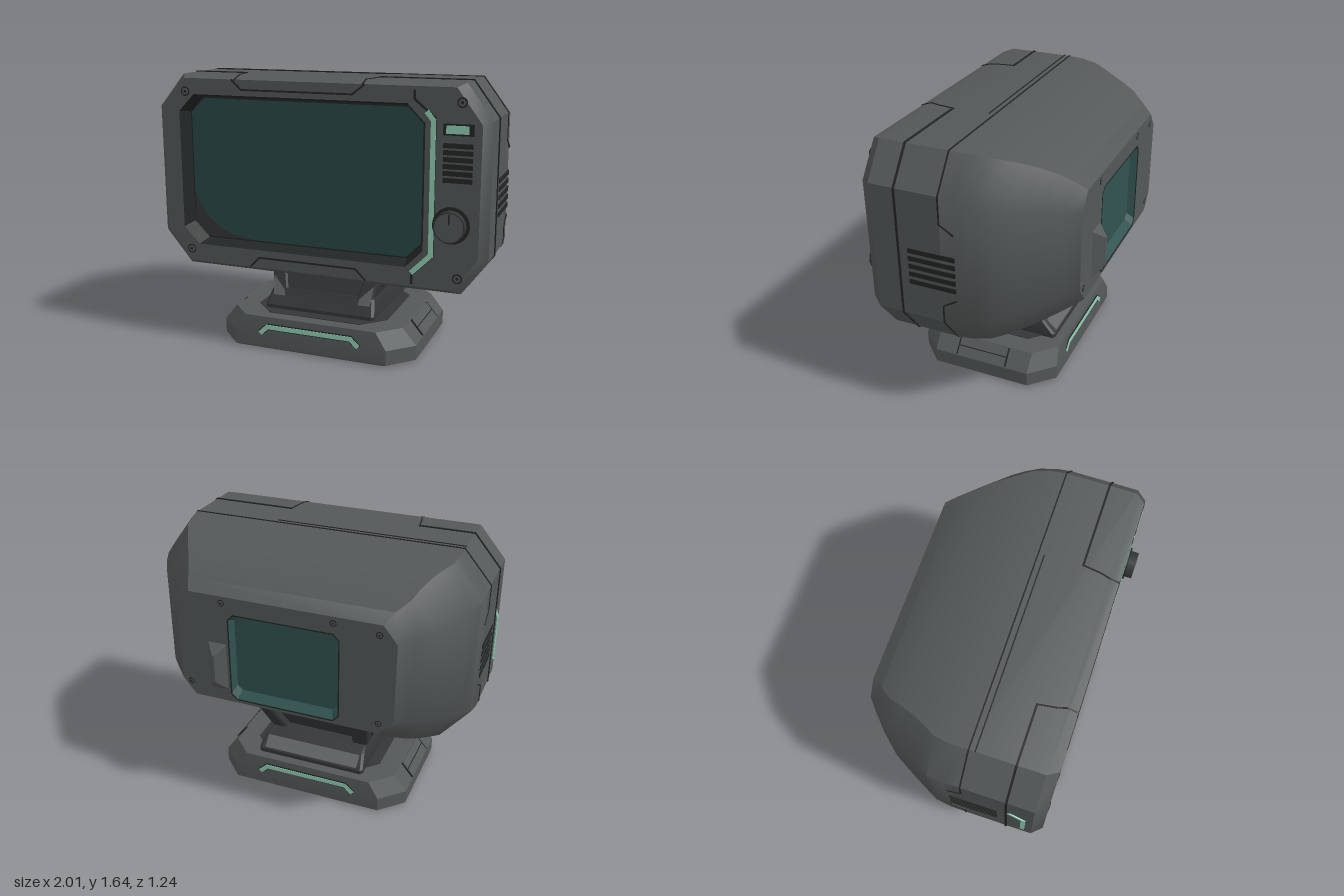
import * as THREE from 'three';
import { toCreasedNormals } from 'three/addons/utils/BufferGeometryUtils.js';

const paint = (name, color) => Object.assign(new THREE.MeshStandardMaterial({ color }), { name });

export function createModel() {
  const root = new THREE.Group();
  root.name = 'desktopMonitor';
  const shell = paint('shell grey', 0x545858);
  const dark = paint('seam black', 0x232626);
  const neckGrey = paint('neck grey', 0x343637);
  const glass = paint('screen teal', 0x294747);
  const rearGlass = paint('rear window teal', 0x315351);
  const mint = paint('light mint', 0x93d0b5);
  const steel = paint('bracket grey', 0x606465);

  const add = (name, geo, mat, x = 0, y = 0, z = 0, parent = root) => {
    const m = new THREE.Mesh(geo, mat);
    m.name = name;
    m.position.set(x, y, z);
    parent.add(m);
    return m;
  };

  // Chamfered rectangle, counter-clockwise; cl is the chamfer width on the -x side
  const oct = (x0, x1, y0, y1, cx, cy = cx, cl = cx) => [
    [x1, y0 + cy], [x1, y1 - cy], [x1 - cx, y1], [x0 + cl, y1],
    [x0, y1 - cy], [x0, y0 + cy], [x0 + cl, y0], [x1 - cx, y0]];

  // Skin over outlines ordered from front (+z) to back: [[z, points], ...]
  const loft = (sections, { caps = true, inside = false, crease = 0.55 } = {}) => {
    const pos = [];
    const tri = (...p) => (inside ? p.reverse() : p).forEach(v => pos.push(...v));
    const rings = sections.map(([z, pts]) => pts.map(([x, y]) => [x, y, z]));
    const n = rings[0].length;
    for (let s = 0; s < rings.length - 1; s++) {
      const a = rings[s], b = rings[s + 1];
      for (let i = 0; i < n; i++) {
        const j = (i + 1) % n;
        tri(a[i], b[i], b[j]);
        tri(a[i], b[j], a[j]);
      }
    }
    if (caps) {
      const f = rings[0], b = rings[rings.length - 1];
      for (let i = 1; i < n - 1; i++) {
        tri(f[0], f[i], f[i + 1]);
        tri(b[0], b[i + 1], b[i]);
      }
    }
    const g = new THREE.BufferGeometry();
    g.setAttribute('position', new THREE.Float32BufferAttribute(pos, 3));
    return toCreasedNormals(g, crease);
  };
  const upright = g => g.rotateX(-Math.PI / 2);
  const vec = pts => pts.map(p => new THREE.Vector2(...p));
  const plate = (outline, hole) => {
    const s = new THREE.Shape(vec(outline));
    if (hole) s.holes.push(new THREE.Path(vec(hole)));
    return new THREE.ShapeGeometry(s);
  };

  // Flat ribbon along a path in the local xy plane
  const ribbon = (name, pts, w, mat, z = 0, thick = 0.006, parent = root) => {
    const g = new THREE.Group();
    g.name = name;
    g.position.z = z;
    for (let i = 0; i < pts.length - 1; i++) {
      const [[x0, y0], [x1, y1]] = [pts[i], pts[i + 1]];
      const m = add(name, new THREE.BoxGeometry(Math.hypot(x1 - x0, y1 - y0) + w * 0.4, w, thick),
        mat, (x0 + x1) / 2, (y0 + y1) / 2, 0, g);
      m.rotation.z = Math.atan2(y1 - y0, x1 - x0);
    }
    parent.add(g);
    return g;
  };
  // Fine seam along a path in space
  const seam = (name, pts, w = 0.008) => {
    for (let i = 0; i < pts.length - 1; i++) {
      const a = new THREE.Vector3(...pts[i]), b = new THREE.Vector3(...pts[i + 1]);
      const m = add(name, new THREE.BoxGeometry(w, w, a.distanceTo(b) + w * 0.5), dark);
      m.position.copy(a).lerp(b, 0.5);
      m.lookAt(b);
    }
  };

  // Housing: z, left x, right x, bottom, top, right chamfer, chamfer height, left chamfer
  const profile = [
    [0.56, -0.95, 0.955, 0.513, 1.612, 0.14, 0.19, 0.155], [0.5, -1, 1, 0.48, 1.632, 0.145, 0.195, 0.165],
    [0.09, -1, 1, 0.48, 1.632, 0.145, 0.195, 0.165], [0, -1, 0.995, 0.483, 1.626, 0.15, 0.2, 0.165],
    [-0.1, -0.99, 0.975, 0.497, 1.612, 0.155, 0.205, 0.17], [-0.18, -0.95, 0.942, 0.522, 1.594, 0.165, 0.205, 0.175],
    [-0.25, -0.915, 0.902, 0.55, 1.573, 0.165, 0.2, 0.175], [-0.33, -0.872, 0.842, 0.587, 1.545, 0.15, 0.19, 0.165],
    [-0.41, -0.826, 0.778, 0.634, 1.508, 0.13, 0.165, 0.145], [-0.49, -0.74, 0.713, 0.684, 1.462, 0.105, 0.135, 0.12],
    [-0.56, -0.66, 0.655, 0.735, 1.41, 0.08, 0.1, 0.08]];
  const outline = ([, ...p]) => oct(...p);
  const slices = profile.map(p => [p[0], outline(p)]);
  add('housingFront', loft(slices.slice(0, 3), { caps: false }), shell);
  add('housingRear', loft(slices.slice(2), { caps: false, crease: 0.7 }), shell);

  // Front face with deeply recessed screen
  const opening = oct(-0.84, 0.65, 0.62, 1.52, 0.1);
  const inner = oct(-0.82, 0.63, 0.64, 1.5, 0.095);
  add('frontFace', plate(slices[0][1], opening), shell, 0, 0, 0.56);
  add('screenBezel', loft([[0.56, opening], [0.465, inner]], { caps: false, inside: true }), dark);
  add('screenBack', plate(inner), dark, 0, 0, 0.465);
  add('screen', plate(oct(-0.81, 0.615, 0.65, 1.49, 0.085)), glass, 0, 0, 0.47);
  // Dark curved corner behind the glass edge
  add('screenCorner', plate([[-0.81, 0.93], [-0.81, 0.735], [-0.725, 0.65], [-0.4, 0.65], [-0.55, 0.672],
    [-0.64, 0.705], [-0.72, 0.775], [-0.775, 0.85]]), neckGrey, 0, 0, 0.473);

  // Rear face with recessed window (built facing front, then turned)
  const rear = new THREE.Group();
  rear.name = 'rearPanel';
  rear.rotation.y = Math.PI;
  root.add(rear);
  const windowEdge = oct(-0.335, 0.335, 0.755, 1.305, 0.035);
  const windowFloor = oct(-0.315, 0.315, 0.8, 1.285, 0.03);
  add('rearFace', plate(slices[10][1].map(([x, y]) => [-x, y]).reverse(), windowEdge), shell, 0, 0, 0.56, rear);
  add('rearWindowWall', loft([[0.56, windowEdge], [0.515, windowFloor]], { caps: false, inside: true }), rearGlass, 0, 0, 0, rear);
  add('rearWindow', plate(windowFloor), rearGlass, 0, 0, 0.515, rear);
  ribbon('rearWindowSeam', [...windowEdge, windowEdge[0]], 0.007, dark, 0.56, 0.004, rear);
  add('rearLatch', loft([[-0.55, oct(0.345, 0.48, 0.8, 1.12, 0.005)], [-0.62, oct(0.405, 0.419, 0.88, 1.06, 0.003)]]), shell);

  // Screws
  const screw = (x, y, z, r, parent) => {
    for (const [k, mat, t] of [[1, dark, 0.004], [0.72, shell, 0.007], [0.3, dark, 0.009]])
      add('screw', new THREE.CylinderGeometry(r * k, r * k, t, 16).rotateX(Math.PI / 2), mat, x, y, z, parent);
  };
  for (const x of [-0.795, 0.845]) for (const y of [0.585, 1.535]) screw(x, y, 0.56, 0.028, root);
  for (const [x, y] of [[-0.37, 1.37], [0.3, 1.37], [0.56, 1.35], [-0.6, 0.82], [0.57, 0.8]]) screw(x, y, 0.56, 0.02, rear);

  // Front trim lines and light strip
  ribbon('topTrim', [[-0.49, 1.61], [-0.43, 1.555], [0.24, 1.555], [0.31, 1.61]], 0.01, dark, 0.56);
  ribbon('bottomTrim', [[-0.4, 0.515], [-0.34, 0.575], [0.26, 0.575], [0.32, 0.515]], 0.01, dark, 0.56);
  ribbon('stripBed', [[0.59, 1.59], [0.59, 1.545], [0.705, 1.45], [0.705, 0.695], [0.59, 0.58], [0.59, 0.53]], 0.012, dark, 0.56);
  ribbon('lightStrip', [[0.66, 1.478], [0.695, 1.437], [0.695, 0.7], [0.59, 0.595]], 0.028, mint, 0.56, 0.01);

  // Control column
  add('indicatorFrame', new THREE.BoxGeometry(0.165, 0.062, 0.006), dark, 0.83, 1.393, 0.56);
  add('indicatorLight', new THREE.BoxGeometry(0.122, 0.044, 0.01), mint, 0.825, 1.393, 0.56);
  for (let i = 0; i < 6; i++)
    add('frontVent', new THREE.BoxGeometry(0.16, 0.026, 0.008), dark, 0.83, 1.308 - i * 0.037, 0.56);
  const disc = (r, t) => new THREE.CylinderGeometry(r, r, t, 32).rotateX(Math.PI / 2);
  add('knobCollar', disc(0.102, 0.02), dark, 0.805, 0.88, 0.565);
  add('knob', disc(0.085, 0.06), neckGrey, 0.805, 0.88, 0.59);
  add('knobCap', disc(0.078, 0.004), shell, 0.805, 0.88, 0.62);
  add('knobMark', new THREE.BoxGeometry(0.007, 0.055, 0.004), dark, 0.805, 0.925, 0.621);

  // Side vents and housing seams
  for (const s of [-1, 1]) {
    const edge = s < 0 ? -0.835 : 0.855, panel = s < 0 ? -0.5 : 0.33;
    for (let i = 0; i < 5; i++)
      add('sideVent', new THREE.BoxGeometry(0.008, 0.028, 0.28), dark, s, 1.083 - i * 0.048, 0.15);
    seam('rearSeam', [[edge, 1.632, 0.09], [s, 1.437, 0.09], [s, 1.28, 0.09], [s, 1.23, 0.01]]);
    seam('rearSeam', [[edge, 0.48, 0.09], [s, 0.675, 0.09], [s, 0.78, 0.09], [s, 0.83, 0.01]]);
    seam('frontSeam', [[panel, 1.632, 0.345], [edge, 1.632, 0.345], [s, 1.437, 0.345], [s, 0.675, 0.345],
      [edge, 0.48, 0.345], [panel, 0.48, 0.345]], 0.012);
    seam('panelSeam', [[panel, 1.632, 0.345], [panel - s * 0.015, 1.632, 0.45], [panel - s * 0.03, 1.632, 0.5], [panel - s * 0.03, 1.612, 0.56]]);
  }
  for (const y of [0.48, 1.632]) seam('rearSeam', [[-0.835, y, 0.09], [0.855, y, 0.09]]);
  seam('topSeam', [[-0.835, 1.632, 0.125], [0.32, 1.632, 0.125]], 0.007);
  const sideLight = ribbon('sideLight', [[0.36, 1.15], [0.445, 1.075], [0.445, 0.785]], 0.026, mint, 0, 0.014);
  sideLight.rotation.y = -Math.PI / 2;
  sideLight.position.x = -1;

  // Stand, off-centre like its foot
  const stand = new THREE.Group();
  stand.name = 'stand';
  stand.position.set(-0.04, 0, 0.1);
  root.add(stand);
  const foot = (y, hx, hz, c) => [y, oct(-hx, hx, -hz, hz, c)];
  add('base', upright(loft([foot(0.2, 0.54, 0.437, 0.125), foot(0.1, 0.622, 0.45, 0.14),
    foot(0.012, 0.622, 0.45, 0.14), foot(0, 0.605, 0.435, 0.14)], { crease: 0.3 })), shell, 0, 0, 0, stand);
  add('baseInlay', upright(loft([foot(0.204, 0.42, 0.36, 0.13), foot(0.19, 0.42, 0.36, 0.13)])), neckGrey, 0, 0, 0, stand);
  for (const turn of [0, Math.PI]) {
    const face = new THREE.Group();
    face.name = 'baseLight';
    face.rotation.y = turn;
    stand.add(face);
    const path = [[-0.31, 0.1], [-0.265, 0.142], [0.265, 0.142], [0.31, 0.1]];
    ribbon('baseLightBed', path, 0.038, dark, 0.444, 0.012, face);
    ribbon('baseLightStrip', path, 0.028, mint, 0.446, 0.014, face);
  }
  // Side pads lie on the sloped rim
  for (const s of [-1, 1]) {
    const pad = new THREE.Group();
    pad.name = 'basePad';
    pad.position.set(s * 0.581, 0.15, 0);
    pad.rotation.z = s * 0.687;
    stand.add(pad);
    add('padPlate', new THREE.BoxGeometry(0.014, 0.11, 0.32), shell, 0, 0, 0, pad);
    for (const z of [-0.163, 0.163]) add('padSeam', new THREE.BoxGeometry(0.016, 0.115, 0.008), dark, 0, 0, z, pad);
    add('padSeam', new THREE.BoxGeometry(0.017, 0.006, 0.32), dark, 0, 0, 0, pad);
  }

  // Neck leans back and widens upwards: y, x range, front z, back z (world z)
  const ring = (y, x0, x1, zf, zb) => [y, oct(x0, x1, 0.1 - zf, 0.1 - zb, 0.015)];
  add('neckCore', upright(loft([ring(0.62, -0.31, 0.31, 0.2, -0.25), ring(0.3, -0.24, 0.24, 0.325, -0.06)])), neckGrey, 0, 0, 0, stand);
  add('neckArm', upright(loft([ring(0.62, 0.3, 0.385, 0.21, -0.315), ring(0.3, 0.22, 0.325, 0.335, -0.12)])), neckGrey, 0, 0, 0, stand);
  add('neckArm', upright(loft([ring(0.62, -0.385, -0.3, 0.21, -0.315), ring(0.3, -0.325, -0.22, 0.335, -0.12)])), neckGrey, 0, 0, 0, stand);
  add('neckFoot', upright(loft([ring(0.32, -0.325, 0.325, 0.325, -0.13), ring(0.3, -0.335, 0.335, 0.335, -0.2),
    ring(0.225, -0.352, 0.352, 0.39, -0.28), ring(0.19, -0.352, 0.352, 0.39, -0.28)])), neckGrey, 0, 0, 0, stand);
  for (const s of [-1, 1]) {
    const corners = [[-0.035, -0.06], [0.04, -0.06], [0.04, -0.02], [-0.035, 0.075]].map(([x, y]) => [-s * x, y]);
    const bracket = add('neckBracket', plate(corners), steel, s * 0.285, 0.325, 0.233, stand);
    bracket.rotation.set(-0.372, 0, s * -0.1);
    // Bolt plate on each side of the neck
    const side = new THREE.Group();
    side.name = 'boltPlate';
    side.position.set(s * 0.344, 0.4, -0.04);
    side.rotation.z = s * -0.185;
    stand.add(side);
    add('plate', new THREE.BoxGeometry(0.012, 0.1, 0.24), dark, 0, 0, 0, side);
    for (const z of [-0.065, 0.07])
      add('bolt', new THREE.CylinderGeometry(0.034, 0.034, 0.026, 20).rotateZ(Math.PI / 2), neckGrey, 0, 0, z, side);
  }
  const rearPlate = add('neckRearPlate', new THREE.BoxGeometry(0.62, 0.085, 0.014), steel, 0, 0.262, -0.341, stand);
  rearPlate.rotation.x = 0.82;
  return root;
}
